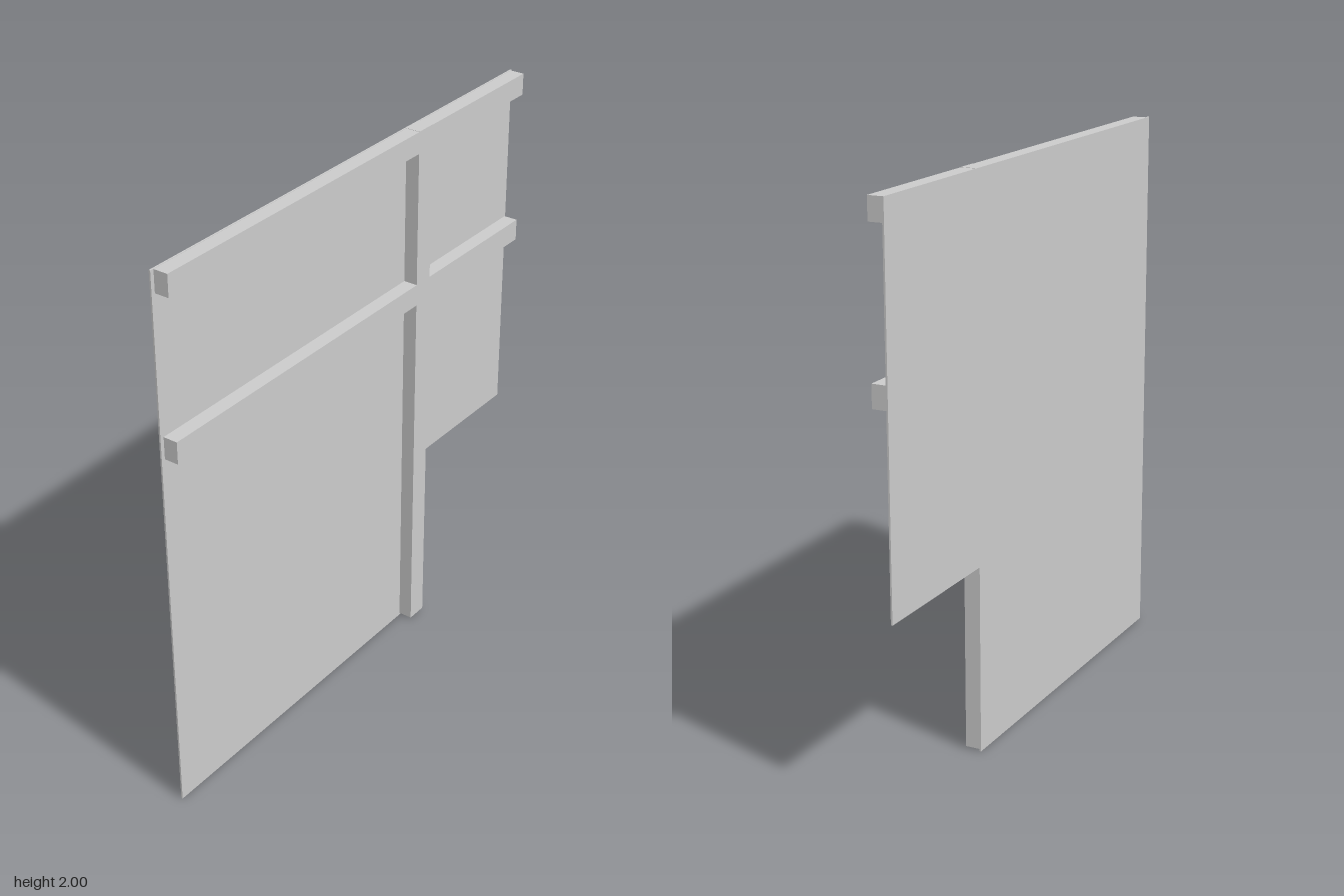
import * as THREE from 'three';

const material = new THREE.MeshStandardMaterial({ color: 0xcccccc, flatShading: true });
const BACK = -0.029, SHEET = 0.006, FRONT = 0.029;

// Flat outline extruded forwards from z0 to z1
function slab(name, points, z0, z1) {
  const shape = new THREE.Shape(points.map(([x, y]) => new THREE.Vector2(x, y)));
  const geometry = new THREE.ExtrudeGeometry(shape, { depth: z1 - z0, bevelEnabled: false });
  geometry.translate(0, 0, z0);
  const mesh = new THREE.Mesh(geometry, material);
  mesh.name = name;
  return mesh;
}

// Rectangular batten fixed to the front of the sheet
function batten(name, x0, x1, y0, y1) {
  const z0 = BACK + SHEET;
  const mesh = new THREE.Mesh(new THREE.BoxGeometry(x1 - x0, y1 - y0, FRONT - z0), material);
  mesh.position.set((x0 + x1) / 2, (y0 + y1) / 2, (z0 + FRONT) / 2);
  mesh.name = name;
  return mesh;
}

export function createModel() {
  const group = new THREE.Group();
  group.name = 'battenedPanel';

  // Thin sheet with a notch at the lower left corner
  group.add(slab('sheet', [
    [-0.961, 0], [0.393, 0], [0.393, 0.671], [0.961, 0.671], [0.961, 2], [-0.961, 2],
  ], BACK, BACK + SHEET));

  // Upright post along the notch edge
  group.add(batten('post', 0.315, 0.393, 0.008, 2));

  // Horizontal rails, butted against both sides of the post
  for (const [name, y0, y1] of [['topRail', 1.921, 1.999], ['middleRail', 1.355, 1.434]]) {
    group.add(batten(name + 'Right', -0.947, 0.315, y0, y1));
    group.add(batten(name + 'Left', 0.393, 0.957, y0, y1));
  }
  return group;
}
